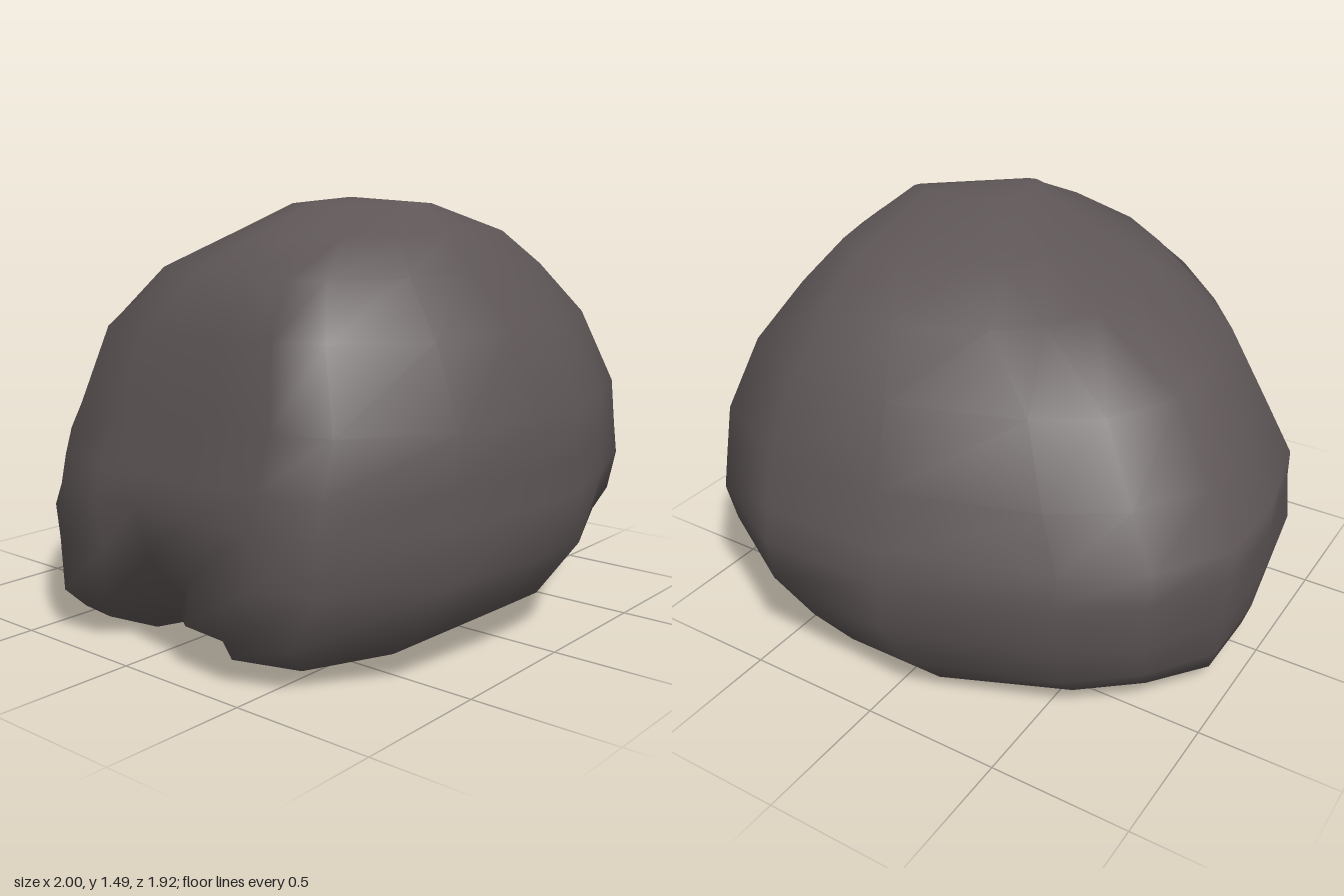
import * as THREE from 'three';

// Plan outline of the boulder (x, z), clockwise seen from above
const OUTLINE = [
  [-0.04, -0.96], [0.44, -0.96], [0.8, -0.78], [0.91, -0.46], [1, -0.14], [0.99, 0.1],
  [0.94, 0.53], [0.7, 0.87], [0.5, 0.94], [0.25, 0.95], [0.02, 0.955], [-0.18, 0.955],
  [-0.4, 0.95], [-0.79, 0.69], [-0.95, 0.4], [-1, 0], [-1, -0.33], [-0.84, -0.61], [-0.59, -0.78],
];

// Layers from base to crown: height, xMin, xMax, zMin, zMax
const LAYERS = [
  [0.03, -0.45, 0.45, -0.45, 0.77],
  [0.07, -0.92, 0.69, -0.79, 0.86],
  [0.16, -0.95, 0.87, -0.87, 0.95],
  [0.35, -0.99, 1, -0.96, 0.955],
  [0.53, -1, 1, -0.96, 0.96],
  [0.64, -1, 1, -0.93, 0.935],
  [0.82, -0.89, 1, -0.865, 0.895],
  [1.08, -0.725, 0.885, -0.76, 0.835],
  [1.26, -0.38, 0.75, -0.57, 0.74],
  [1.38, -0.11, 0.65, -0.38, 0.58],
  [1.48, 0.13, 0.57, 0.04, 0.43],
];

const step = THREE.MathUtils.smoothstep;

function layerPoint([y, x0, x1, z0, z1], [ox, oz]) {
  let x = (x0 + x1) / 2 + ox * (x1 - x0) / 2;
  let z = (z0 + z1) / 2 + (oz / 0.958) * (z1 - z0) / 2;
  // Small slanting facet that trims the crown towards the front corner
  const cut = Math.max(0, x + 1.14 * z - 0.63 - 3.5 * (1.48 - y));
  x -= 0.435 * cut;
  z -= 0.496 * cut;
  // Front corner at -x is fullest low down and recedes above and below
  const recede = 0.06 * step(-x, 0.3, 0.6) * step(z, 0.2, 0.6) * Math.min(1, Math.abs(y - 0.3) / 0.2);
  x += recede;
  z -= recede;
  // Foot of the front corner at +x is broad
  if (y > 0.05 && y < 0.1) x += 0.12 * step(x, 0.2, 0.45) * step(z, 0.3, 0.7);
  // Cleft between the two lobes at the foot of the front
  const cleft = Math.exp(-(((x + 0.01) / 0.14) ** 2)) * step(z, 0.3, 0.7) * (1 - step(y, 0.05, 0.45));
  z -= 0.28 * cleft;
  // Undercut below the back corner, and a shallow hollow opposite
  const undercut = step(x, 0.25, 0.65) * step(-z, 0.1, 0.45) * Math.max(0, 1 - y / 0.45);
  const hollow = Math.exp(-(((x + 0.7) / 0.2) ** 2) - ((z + 0.52) / 0.2) ** 2) * Math.max(0, 1 - y / 0.45);
  x -= 0.1 * undercut;
  z += 0.1 * undercut;
  let h = y + 0.18 * undercut + 0.07 * hollow;
  // The underside leans down towards the front
  if (y < 0.05) h += 0.02 * cleft - 0.035 * z;
  return [x, h, z];
}

function boulderGeometry() {
  const n = OUTLINE.length, top = LAYERS.length - 1;
  const positions = [], index = [];
  for (const layer of LAYERS) for (const p of OUTLINE) positions.push(...layerPoint(layer, p));
  const baseCentre = positions.length / 3, crown = baseCentre + 1;
  positions.push(0, 0.03, 0.1, 0.28, 1.5, 0.2);

  for (let j = 0; j < n; j++) {
    const k = (j + 1) % n;
    for (let i = 0; i < top; i++) {
      const a = i * n + j, b = i * n + k, c = a + n, d = b + n;
      index.push(a, c, b, b, c, d);
    }
    index.push(baseCentre, j, k, crown, top * n + k, top * n + j);
  }
  const g = new THREE.BufferGeometry();
  g.setAttribute('position', new THREE.Float32BufferAttribute(positions, 3));
  g.setIndex(index);
  g.computeVertexNormals();
  return g;
}

export function createModel() {
  const group = new THREE.Group();
  group.name = 'rock';
  const stone = new THREE.MeshStandardMaterial({ color: 0x5e5656 });
  stone.name = 'dark stone';
  const boulder = new THREE.Mesh(boulderGeometry(), stone);
  boulder.name = 'boulder';
  group.add(boulder);
  return group;
}
